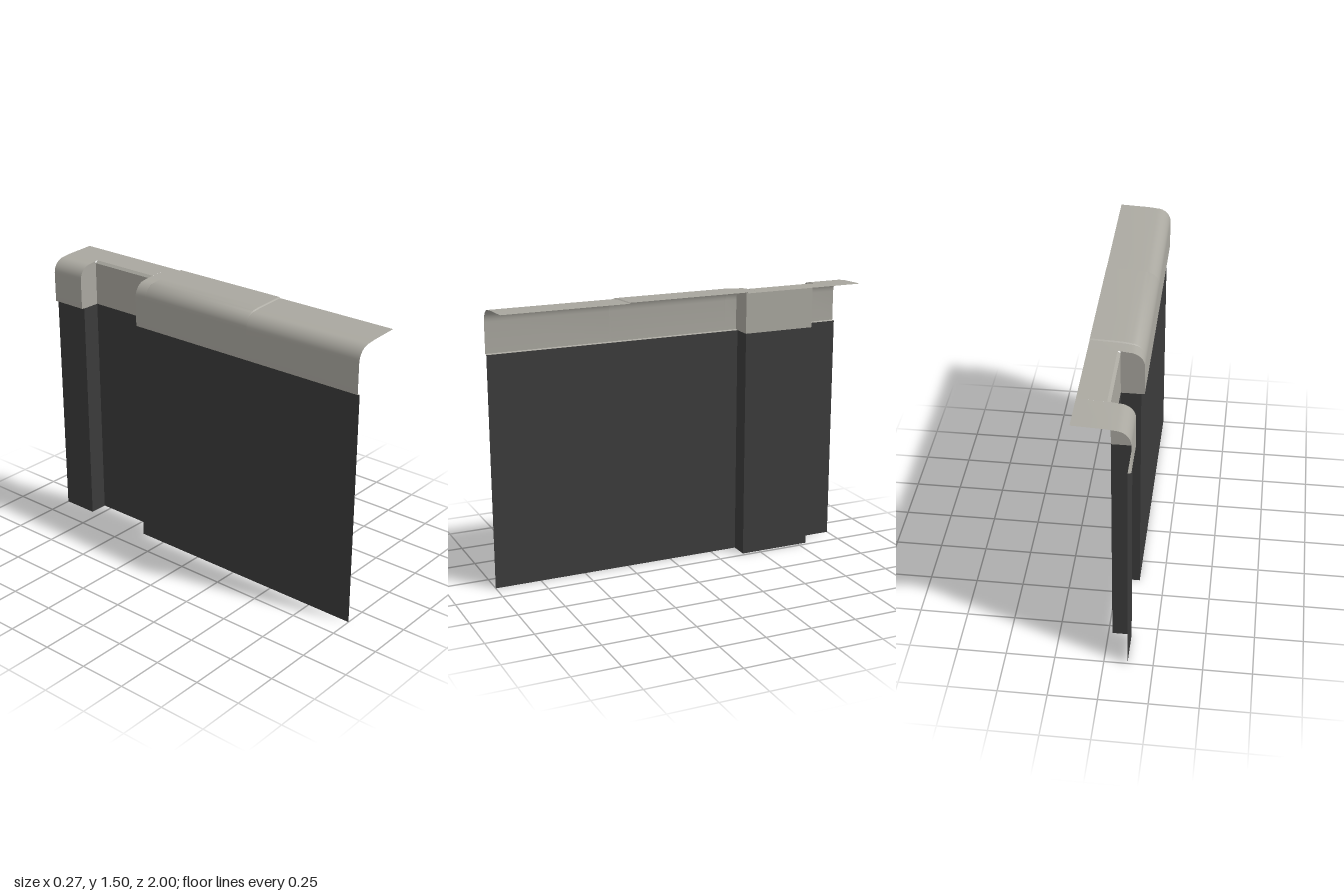
import * as THREE from 'three';
import { toCreasedNormals } from 'three/addons/utils/BufferGeometryUtils.js';

const coping = new THREE.MeshStandardMaterial({ name: 'warm grey coping', color: 0xaaa8a0, side: THREE.DoubleSide });
const cladding = new THREE.MeshStandardMaterial({ name: 'charcoal wall', color: 0x3b3b3b, side: THREE.DoubleSide });

// Coping section: bottom return, upright face, rounded shoulder, gently rising lip
function copingProfile(lift = 0) {
  const r = 0.075, pts = [[-0.12, 1.25], [-0.137, 1.253]];
  for (let i = 0; i <= 8; i++) {
    const a = Math.PI - (i / 8) * Math.PI / 2;
    pts.push([-0.137 + r + r * Math.cos(a), 1.413 + r * Math.sin(a) + lift * i / 8]);
  }
  pts.push([-0.02, 1.493 + lift], [0.137, 1.5 + lift]);
  return pts;
}

// Strip of surface joining matching cross-sections [{ z, pts }]
function loft(sections, crease) {
  const pos = [], index = [], n = sections[0].pts.length;
  sections.forEach(s => s.pts.forEach(([x, y]) => pos.push(x, y, s.z)));
  for (let s = 0; s < sections.length - 1; s++) {
    for (let i = 0; i < n - 1; i++) {
      const a = s * n + i, b = a + n;
      index.push(a, b, a + 1, b, b + 1, a + 1);
    }
  }
  const g = new THREE.BufferGeometry();
  g.setAttribute('position', new THREE.Float32BufferAttribute(pos, 3));
  g.setIndex(index);
  return toCreasedNormals(g, crease);
}

export function createModel() {
  const group = new THREE.Group();
  group.name = 'copedWall';
  const add = (name, geometry, material) => {
    const m = new THREE.Mesh(geometry, material);
    m.name = name;
    group.add(m);
    return m;
  };
  const run = (name, z0, z1, pts) =>
    add(name, loft([{ z: z0, pts }, { z: z1, pts }], 0.5), coping);

  // Coping lengths at both ends and beside the niche
  const plain = copingProfile();
  run('frontCoping', 1, 0.333, plain);
  run('nicheSideCoping', -0.333, -0.4, plain);
  run('backCoping', -0.8, -1, plain);

  // Middle length stands slightly proud with bevelled ends
  const raised = copingProfile(0.005);
  add('middleCoping', loft([
    { z: 0.333, pts: plain }, { z: 0.325, pts: raised },
    { z: -0.325, pts: raised }, { z: -0.333, pts: plain },
  ], 0.5), coping);

  // Shallow joint lines at the shoulder
  for (const z of [0.333, -0.333]) {
    const outer = plain.slice(1).map(([x, y]) => [x - 0.0005, y + 0.0005]);
    run('copingJoint', z - 0.002, z + 0.002, outer);
  }

  // Niche: upright face, small chamfer and the narrow lip above it
  run('nicheCoping', -0.4, -0.8,
    [[-0.02, 1.25], [-0.02, 1.482], [-0.005, 1.494], [0.137, 1.5]]);

  // Cheeks closing the coping on both sides of the niche
  const cheek = new THREE.Shape(plain.slice(0, -1).map(([x, y]) => new THREE.Vector2(x, y)));
  cheek.lineTo(-0.02, 1.25);
  for (const z of [-0.4, -0.8]) {
    add('nicheCheek', new THREE.ShapeGeometry(cheek), coping).position.z = z;
  }

  // Thin wall below, stepping in around the niche
  const plan = [[-0.12, 1], [-0.12, -0.4], [-0.02, -0.4], [-0.02, -0.8], [-0.12, -0.8], [-0.12, -1]];
  const wall = loft(plan.map(([x, z]) => ({ z, pts: [[x, 0], [x, 1.25]] })), 0.3);
  add('wall', wall, cladding);

  return group;
}
